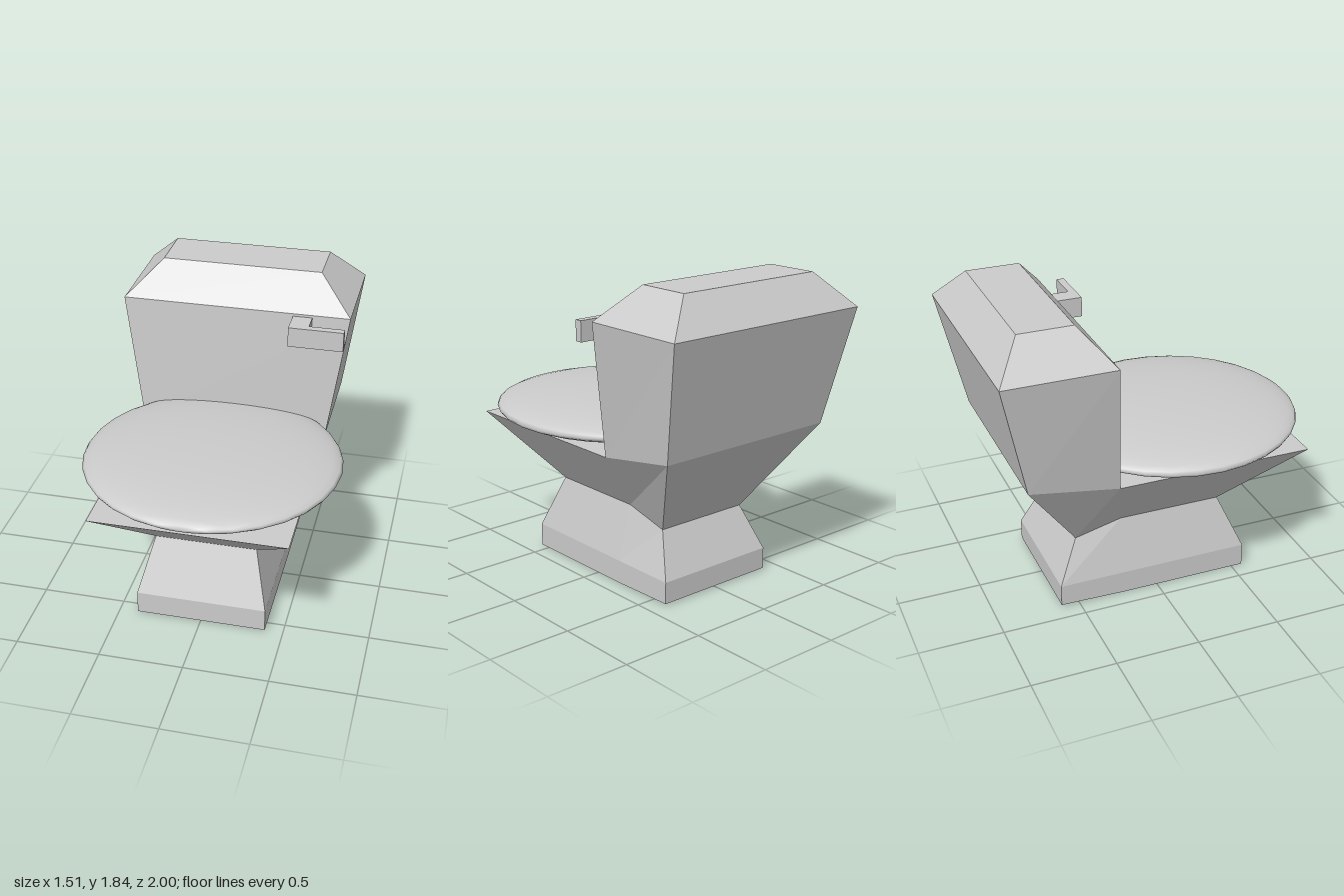
import * as THREE from 'three';

const material = new THREE.MeshStandardMaterial({ color: 0xcccccc, flatShading: true });
const smoothMaterial = new THREE.MeshStandardMaterial({ color: 0xcccccc });

// Mirrored ring from points [halfWidth, y, z] listed front to back
function ring(points) {
  const left = points.map(([x, y, z]) => [x, y, z]);
  const right = points.map(([x, y, z]) => [-x, y, z]).reverse();
  return [...left, ...right];
}

// Flat-sided skin between rings, plus extra quads for the ends
function loft(rings, caps) {
  const pos = [];
  const quad = (a, b, c, d) => pos.push(...a, ...b, ...c, ...a, ...c, ...d);
  for (let k = 0; k < rings.length - 1; k++) {
    const lo = rings[k], hi = rings[k + 1], n = lo.length;
    for (let i = 0; i < n; i++) {
      const j = (i + 1) % n;
      quad(lo[i], lo[j], hi[j], hi[i]);
    }
  }
  caps.forEach((c) => quad(...c));
  const geometry = new THREE.BufferGeometry();
  geometry.setAttribute('position', new THREE.Float32BufferAttribute(pos, 3));
  geometry.computeVertexNormals();
  return geometry;
}

function add(parent, name, geometry, mat = material) {
  const mesh = new THREE.Mesh(geometry, mat);
  mesh.name = name;
  parent.add(mesh);
  return mesh;
}

export function createModel() {
  const model = new THREE.Group();
  model.name = 'toilet';

  // Pedestal and bowl: foot, plinth edge, neck, rim
  const foot = ring([[0.39, 0, 0.57], [0.39, 0, -0.2], [0.39, 0.01, -0.61]]);
  const plinth = ring([[0.39, 0.14, 0.57], [0.39, 0.14, -0.2], [0.39, 0.14, -0.61]]);
  const neck = ring([[0.305, 0.47, 0.425], [0.305, 0.47, -0.2], [0.305, 0.4, -0.485]]);
  const rim = ring([[0.57, 0.845, 0.88], [0.57, 0.845, -0.305], [0.59, 0.94, -0.845]]);
  add(model, 'pedestalAndBowl', loft([foot, plinth, neck, rim], [
    [foot[5], foot[4], foot[1], foot[0]],
    [foot[4], foot[3], foot[2], foot[1]],
    [rim[0], rim[1], rim[4], rim[5]],
  ]));

  // Cistern with its bevelled top, rising from the back of the rim
  const tankBase = rim.slice(1, 5);
  const tankTop = ring([[0.685, 1.635, -0.345], [0.685, 1.635, -1]]);
  const lidTop = ring([[0.48, 1.835, -0.52], [0.48, 1.835, -0.84]]);
  add(model, 'cistern', loft([tankBase, tankTop, lidTop], [lidTop]));

  // Flattened round seat cover, running into the cistern
  const cover = new THREE.SphereGeometry(0.757, 32, 16);
  cover.rotateX(Math.PI / 2);
  cover.scale(1, 0.13, 1);
  const seat = add(model, 'seatCover', cover, smoothMaterial);
  seat.position.set(0, 0.944, 0.24);
  seat.rotation.x = -0.013;

  // L-shaped flush handle
  const handle = new THREE.Shape();
  [[0.345, 0.37], [0.345, 0.185], [0.67, 0.185], [0.67, 0.23], [0.46, 0.23], [0.46, 0.37]]
    .forEach(([x, y], i) => (i ? handle.lineTo(x, y) : handle.moveTo(x, y)));
  const lever = new THREE.ExtrudeGeometry(handle, { depth: 0.12, bevelEnabled: false });
  lever.rotateX(-Math.PI / 2);
  add(model, 'flushHandle', lever).position.y = 1.5;

  return model;
}
